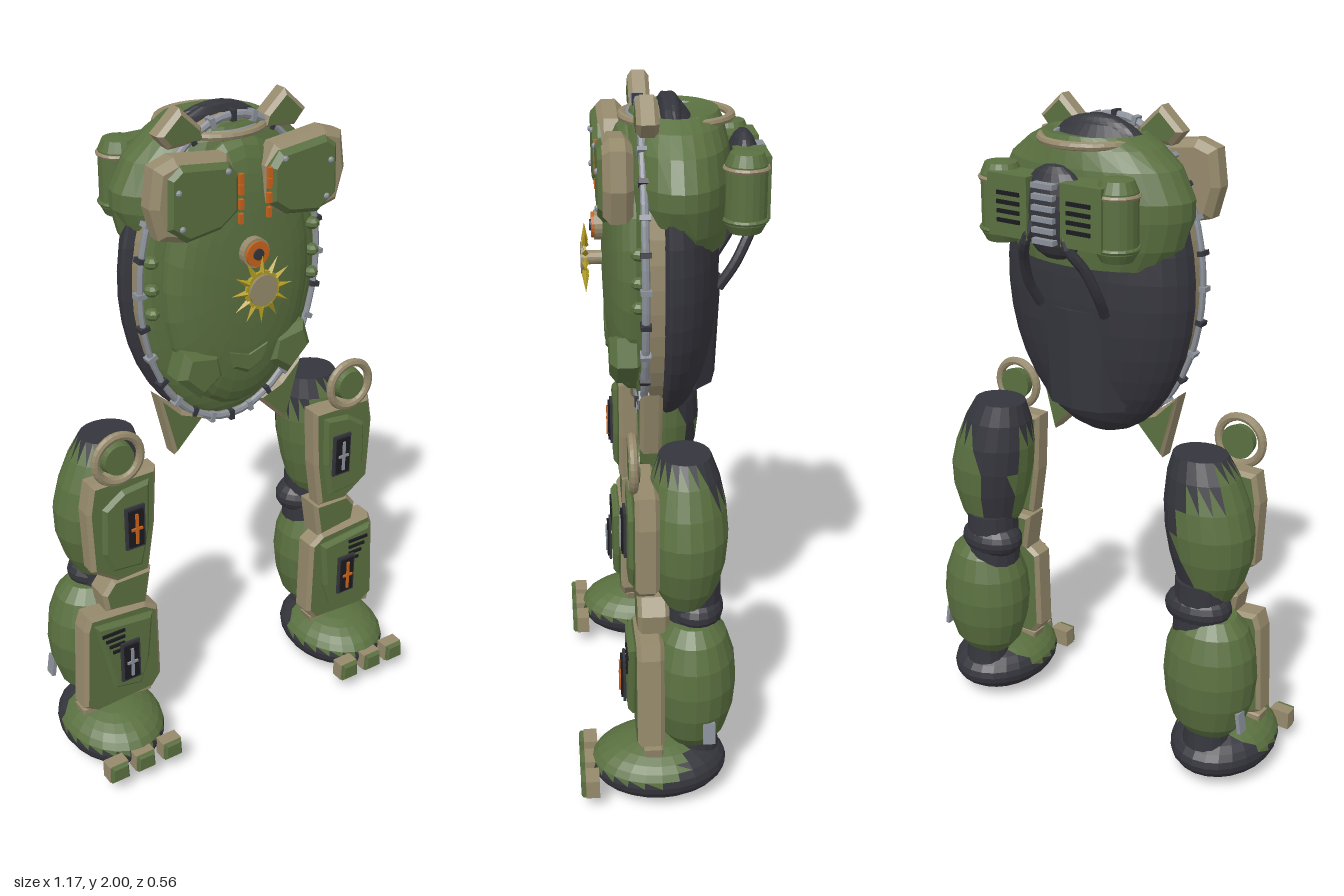
import * as THREE from 'three';

const mat = (name, color) => {
  const m = new THREE.MeshStandardMaterial({ color, flatShading: true });
  m.name = name;
  return m;
};
const green = mat('olive green', 0x5a7040), dark = mat('charcoal', 0x35353d), tan = mat('tan trim', 0x968a6c);
const grey = mat('steel grey', 0x8b9099), black = mat('black', 0x1b1b20), orange = mat('orange', 0xc8631c);
const yellow = mat('yellow', 0xb39d22);

function add(group, name, geo, material, x = 0, y = 0, z = 0) {
  const m = new THREE.Mesh(geo, material);
  m.name = name;
  m.position.set(x, y, z);
  group.add(m);
  return m;
}
const ball = (rx, ry, rz, n = 24) => new THREE.SphereGeometry(1, n, Math.round(n * 0.6)).scale(rx, ry, rz);
const lathe = (pts, n = 24) => new THREE.LatheGeometry(pts.map(p => new THREE.Vector2(...p)), n);
const box = (w, h, d) => new THREE.BoxGeometry(w, h, d);

// Moves every vertex by a rule
function warp(geo, rule) {
  const p = geo.attributes.position, v = new THREE.Vector3();
  for (let i = 0; i < p.count; i++) {
    rule(v.fromBufferAttribute(p, i));
    p.setXYZ(i, v.x, v.y, v.z);
  }
  geo.computeVertexNormals();
  return geo;
}

// Divides faces into two material groups by a test on their centres
function split(geo, test) {
  const p = geo.toNonIndexed().attributes.position, sets = [[], []];
  for (let i = 0; i < p.count; i += 3) {
    const c = [0, 1, 2].map(k => new THREE.Vector3().fromBufferAttribute(p, i + k));
    const mid = c[0].clone().add(c[1]).add(c[2]).divideScalar(3);
    c.forEach(v => sets[test(mid) ? 1 : 0].push(v.x, v.y, v.z));
  }
  const g = new THREE.BufferGeometry();
  g.setAttribute('position', new THREE.Float32BufferAttribute([...sets[0], ...sets[1]], 3));
  g.addGroup(0, sets[0].length / 3, 0);
  g.addGroup(sets[0].length / 3, sets[1].length / 3, 1);
  g.computeVertexNormals();
  return g;
}

// Bevelled armour plate between z0 and z1, outlined on the +x side and mirrored by s
function plate(group, name, s, pts, z0, z1, face = green, edge = tan, bevel = 0.012) {
  const shape = new THREE.Shape(pts.map(([x, y]) => new THREE.Vector2(x * s, y)));
  const geo = new THREE.ExtrudeGeometry(shape, {
    depth: z1 - z0 - 2 * bevel, bevelEnabled: true, bevelSize: bevel, bevelThickness: bevel,
    bevelOffset: -bevel, bevelSegments: 1,
  });
  return add(group, name, geo, [face, edge], 0, 0, z0 + bevel);
}

// Recessed panel with a coloured strip
function slot(g, x, y, z, strip) {
  add(g, 'slotFrame', box(0.064, 0.14, 0.008), dark, x, y, z);
  add(g, 'slotPanel', box(0.048, 0.122, 0.008), black, x, y, z + 0.006);
  add(g, 'slotStrip', box(0.009, 0.1, 0.006), strip, x, y, z + 0.012);
  add(g, 'slotCross', box(0.036, 0.008, 0.006), strip, x, y, z + 0.012);
}

function makeLeg(s) {
  const g = new THREE.Group();
  g.name = s > 0 ? 'leftLeg' : 'rightLeg';

  // Thigh leans inward at the top, with a dark patch on its inner back
  const thigh = lathe([[0, 0.61], [0.07, 0.62], [0.103, 0.68], [0.126, 0.76], [0.135, 0.84], [0.128, 0.92],
    [0.108, 1.0], [0.082, 1.06], [0, 1.06]], 20);
  warp(thigh, v => {
    v.x -= s * 0.045 * Math.max(0, (v.y - 0.8) / 0.26);
    v.z *= 0.88;
  });
  add(g, 'thigh', split(thigh, c => {
    const inward = (-s * c.x - c.z) / Math.SQRT2 / Math.hypot(c.x, c.z);
    return c.y > 1.03 || inward > (c.y > 0.95 ? 0 : 0.8 + 0.17 * (1 - Math.abs(c.y - 0.82) / 0.16));
  }), [green, dark], s * 0.405, 0, -0.03);
  add(g, 'knee', ball(0.105, 0.062, 0.08, 18), dark, s * 0.385, 0.59, -0.06);
  add(g, 'kneeCore', new THREE.CylinderGeometry(0.08, 0.085, 0.2, 16), dark, s * 0.39, 0.58, -0.05);
  add(g, 'calf', lathe([[0, 0.17], [0.075, 0.175], [0.112, 0.22], [0.137, 0.3], [0.145, 0.38], [0.137, 0.46],
    [0.112, 0.53], [0.075, 0.57], [0, 0.57]], 20).scale(1, 1, 0.88), green, s * 0.425, 0, -0.047);
  add(g, 'calfFin', box(0.012, 0.065, 0.035), grey, s * 0.555, 0.26, -0.085).rotation.z = s * 0.15;
  add(g, 'ankle', new THREE.CylinderGeometry(0.065, 0.075, 0.09, 16), dark, s * 0.425, 0.16, -0.055);

  // Foot with green instep over a dark sole and heel
  add(g, 'foot', split(ball(0.155, 0.09, 0.2), c => c.y < 0.008 - Math.min(0, c.z + 0.02) * 0.9 || c.z < -0.085),
    [green, dark], s * 0.43, 0.09, 0.05);
  for (const x of [0.34, 0.435, 0.525]) {
    add(g, 'toe', box(0.064, 0.058, 0.04), tan, s * x, 0.08, 0.25);
    plate(g, 'toeCap', s, [[x - 0.03, 0.054], [x + 0.03, 0.054], [x + 0.027, 0.108], [x - 0.027, 0.108]],
      0.262, 0.284, green, green, 0.005);
  }

  // Hip ring and disc
  add(g, 'hipRing', new THREE.TorusGeometry(0.072, 0.013, 8, 28), tan, s * 0.405, 1.057, 0.118);
  add(g, 'hipDisc', new THREE.CylinderGeometry(0.046, 0.052, 0.03, 24).rotateX(Math.PI / 2), green, s * 0.405, 1.057, 0.115);

  // Thigh guard
  plate(g, 'thighGuard', s, [[0.265, 0.99], [0.49, 0.99], [0.508, 0.9], [0.5, 0.7], [0.41, 0.64], [0.3, 0.645],
    [0.275, 0.8]].map(([x, y]) => [x * 0.94 + 0.03, y]), 0.05, 0.118);
  plate(g, 'thighInset', s, [[0.31, 0.965], [0.4, 0.955], [0.465, 0.91], [0.47, 0.76], [0.44, 0.69], [0.34, 0.68],
    [0.315, 0.8]], 0.11, 0.134, green, green);
  slot(g, s * 0.37, 0.83, 0.14, s > 0 ? grey : orange);

  // Knee guard
  plate(g, 'kneeGuard', s, [[0.3, 0.645], [0.43, 0.645], [0.465, 0.6], [0.455, 0.54], [0.32, 0.52]], 0.02, 0.11);

  // Shin guard with vents
  plate(g, 'shinGuard', s, [[0.285, 0.5], [0.33, 0.53], [0.52, 0.545], [0.535, 0.5], [0.55, 0.22], [0.5, 0.19],
    [0.31, 0.2], [0.28, 0.24]], 0.04, 0.118);
  plate(g, 'shinInset', s, [[0.315, 0.5], [0.51, 0.52], [0.49, 0.43], [0.455, 0.27], [0.36, 0.25], [0.33, 0.34]],
    0.11, 0.14, green, green);
  for (let i = 0; i < 4; i++)
    add(g, 'shinVent', box(0.075 - i * 0.012, 0.01, 0.006), black, s * (0.455 - i * 0.005), 0.485 - i * 0.023, 0.142);
  slot(g, s * 0.405, 0.37, 0.148, s > 0 ? orange : grey);
  plate(g, 'ankleBand', s, [[0.3, 0.205], [0.55, 0.205], [0.545, 0.178], [0.43, 0.19], [0.31, 0.178]],
    0.045, 0.1, tan, tan, 0.005);
  return g;
}

function makeTorso() {
  const g = new THREE.Group();
  g.name = 'torso';

  // Dark rear shell and lower back panel
  add(g, 'rearShell', warp(ball(0.312, 0.465, 0.155, 32), v => { if (v.z > 0) v.z *= 0.3; }), dark, 0, 1.505, 0);
  add(g, 'lowerBack', new THREE.CylinderGeometry(0.165, 0.145, 0.3, 10).scale(1, 1, 0.7), dark, 0, 1.3, -0.05);

  // Green upper shell, wide at the shoulders and full in depth
  const upper = lathe([[0.8, 1.58], [0.93, 1.64], [1, 1.72], [1, 1.77], [0.86, 1.85], [0.66, 1.9], [0.48, 1.93],
    [0.4, 1.915], [0.05, 1.9]], 28);
  warp(upper, v => {
    const r = Math.hypot(v.x, v.z);
    v.z = v.z / r * 0.155 * Math.pow(r, 0.35) * (r < 0.42 ? r : 1);
    if (v.z > 0) v.y = Math.max(v.y, 1.67);
    v.x *= 0.31;
  });
  add(g, 'upperShell', upper, green, 0, 0, -0.03);
  add(g, 'collar', new THREE.TorusGeometry(0.145, 0.012, 8, 32).rotateX(Math.PI / 2).scale(1, 1, 1.03), tan, 0, 1.912, -0.035);
  add(g, 'innerCollar', new THREE.TorusGeometry(0.12, 0.008, 6, 28).rotateX(Math.PI / 2), grey, 0, 1.915, -0.02);
  add(g, 'head', ball(0.138, 0.075, 0.033), dark, 0, 1.895, -0.022);
  add(g, 'brow', ball(0.1, 0.025, 0.02, 16), tan, 0, 1.915, 0.022);

  // Layered front: tan rim, green dish, raised breastplate
  const rim = new THREE.CylinderGeometry(1, 1, 0.055, 40).rotateX(Math.PI / 2);
  add(g, 'frontRim', rim.scale(0.287, 0.44, 1), tan, 0, 1.505, 0.04);
  add(g, 'frontDish', ball(0.285, 0.435, 0.045, 32), green, 0, 1.505, 0.065);
  const breast = new THREE.SphereGeometry(1, 28, 18).rotateX(Math.PI / 2);
  warp(breast, v => {
    v.z = Math.sign(v.z) * Math.sqrt(Math.abs(v.z)) * (v.z > 0 ? 0.115 : 0.02);
    v.x *= 0.235;
    v.y *= 0.4;
  });
  add(g, 'breastplate', breast, green, 0, 1.51, 0.06);
  add(g, 'rimPipe', new THREE.TorusGeometry(1, 0.028, 8, 48).scale(0.293, 0.448, 0.4), grey, 0, 1.505, 0.07);
  for (let i = 0; i < 28; i++) {
    const a = i / 28 * Math.PI * 2;
    add(g, 'pipeClamp', box(0.03, 0.014, 0.03), i % 2 ? dark : grey, 0.293 * Math.cos(a), 1.505 + 0.448 * Math.sin(a), 0.07)
      .rotation.z = a;
  }

  for (const s of [-1, 1]) {
    // Chest, collar, belly and hip plates
    plate(g, 'pectoral', s, [[0.045, 1.83], [0.075, 1.885], [0.235, 1.905], [0.295, 1.885], [0.31, 1.78], [0.285, 1.69],
      [0.21, 1.67], [0.1, 1.685], [0.045, 1.725]], 0.1, 0.18, tan, tan, 0.02);
    plate(g, 'pectoralFace', s, [[0.05, 1.83], [0.08, 1.87], [0.23, 1.888], [0.268, 1.86], [0.272, 1.72], [0.21, 1.675],
      [0.105, 1.69], [0.05, 1.73]], 0.15, 0.192, green, green, 0.015);
    plate(g, 'collarBlock', s, [[0.165, 2.0], [0.235, 1.935], [0.2, 1.895], [0.09, 1.9], [0.1, 1.94]], 0.028, 0.088);
    plate(g, 'bellyPlate', s, [[0.09, 1.32], [0.2, 1.34], [0.225, 1.26], [0.15, 1.185], [0.075, 1.24]], 0.07, 0.165, green, green, 0.02);
    plate(g, 'hipSpike', s, [[0.245, 1.185], [0.195, 0.98], [0.09, 1.085], [0.17, 1.12]], 0.02, 0.085, green, tan, 0.012);
    for (const y of [1.71, 1.75, 1.79, 1.82])
      add(g, 'chestLight', box(0.012, 0.028, 0.012), orange, s * 0.045, y, 0.185);
    for (const [x, y] of [[0.24, 1.82], [0.23, 1.72], [0.09, 1.85]])
      add(g, 'rivet', ball(0.009, 0.009, 0.007, 8), grey, s * x, y, 0.193);
    for (const y of [1.45, 1.52, 1.6])
      add(g, 'sideStud', ball(0.022, 0.018, 0.025, 8), green, s * 0.265, y, 0.085);

    // Back canisters, vent panels and hoses
    add(g, 'canister', lathe([[0, 1.63], [0.045, 1.635], [0.058, 1.66], [0.058, 1.82], [0.045, 1.85], [0, 1.855]], 18),
      green, s * 0.19, 0, -0.205);
    for (const y of [1.67, 1.81])
      add(g, 'canisterBand', new THREE.TorusGeometry(0.058, 0.007, 6, 20).rotateX(Math.PI / 2), y > 1.7 ? tan : green, s * 0.19, y, -0.205);
    add(g, 'ventPanel', box(0.13, 0.17, 0.09), green, s * 0.12, 1.75, -0.228);
    for (let i = 0; i < 4; i++)
      add(g, 'ventSlat', box(0.075, 0.011, 0.006), black, s * 0.115, 1.71 + i * 0.025, -0.275);
    const path = new THREE.CatmullRomCurve3([[0.05, 1.72, -0.25], [0.07, 1.66, -0.262], [0.1, 1.6, -0.23], [0.115, 1.52, -0.19],
      [0.11, 1.45, -0.145]].map(([x, y, z]) => new THREE.Vector3(s * x, y, z)));
    add(g, 'hose', new THREE.TubeGeometry(path, 14, 0.015, 8), dark);
  }
  plate(g, 'bellyWedge', 1, [[-0.08, 1.33], [0, 1.31], [0.08, 1.33], [0.06, 1.25], [0, 1.22], [-0.06, 1.25]], 0.08, 0.168, green, green, 0.02);

  // Spine pack
  add(g, 'spinePack', ball(0.11, 0.13, 0.05, 18), dark, 0, 1.74, -0.22);
  for (let i = 0; i < 6; i++)
    add(g, 'spineRib', box(0.07, 0.014, 0.03), grey, 0, 1.67 + i * 0.03, -0.265);

  // Sunburst and round badge
  const disc = (name, r, m, y, z, d = 0.008) => add(g, name, new THREE.CylinderGeometry(r, r, d, 20).rotateX(Math.PI / 2), m, 0, y, z);
  disc('sunStem', 0.02, tan, 1.51, 0.195, 0.05);
  disc('sunDisc', 0.045, tan, 1.51, 0.23);
  disc('sunRing', 0.055, yellow, 1.51, 0.223);
  for (let i = 0; i < 12; i++) {
    const a = i / 12 * Math.PI * 2, r = 0.075;
    add(g, 'sunRay', new THREE.ConeGeometry(0.01, 0.05, 4), yellow, r * Math.sin(a), 1.51 + r * Math.cos(a), 0.222).rotation.z = -a;
  }
  disc('badge', 0.042, tan, 1.605, 0.18, 0.03);
  disc('badgeFace', 0.036, orange, 1.605, 0.199);
  disc('badgeCore', 0.016, dark, 1.605, 0.204);
  return g;
}

export function createModel() {
  const model = new THREE.Group();
  model.name = 'armouredBody';
  model.add(makeTorso(), makeLeg(1), makeLeg(-1));
  return model;
}
